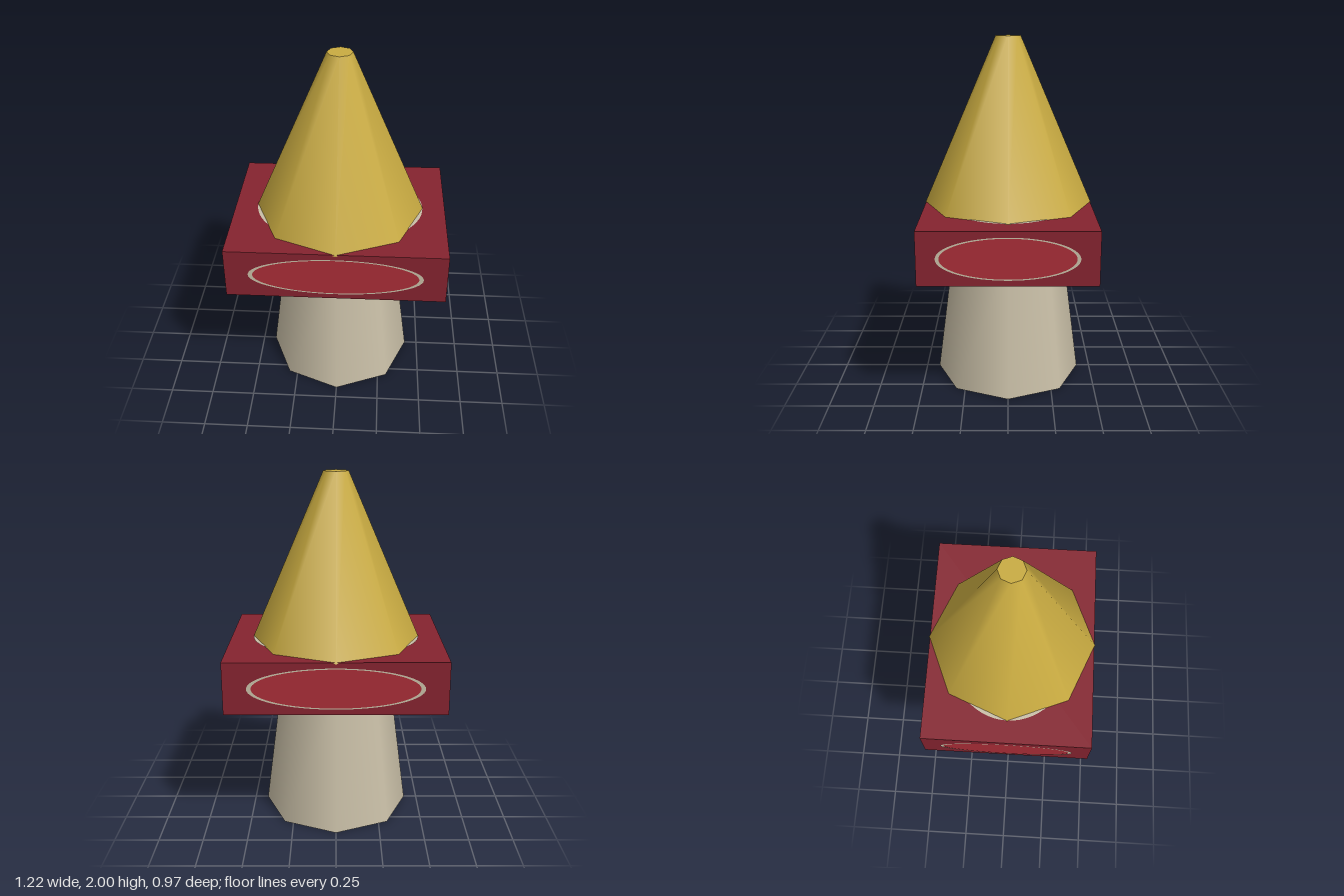
import * as THREE from 'three';

const mat = (name, color) => {
  const m = new THREE.MeshStandardMaterial({ color });
  m.name = name;
  return m;
};

export function createModel() {
  const cream = mat('cream', 0xc9bfa7);
  const gold = mat('gold', 0xc9ab41);
  const darkRed = mat('dark red', 0x85232f);
  const red = mat('bright red', 0xa92d37);

  const model = new THREE.Group();
  model.name = 'toadstoolTower';
  const add = (name, geometry, material, parent = model) => {
    const mesh = new THREE.Mesh(geometry, material);
    mesh.name = name;
    parent.add(mesh);
    return mesh;
  };

  // Tapered eight-sided stem
  add('stem', new THREE.CylinderGeometry(0.325, 0.425, 0.76, 8), cream).position.y = 0.38;

  // Square block
  const W = 1.214, H = 0.296, D = 0.956, Y = 0.904;
  add('block', new THREE.BoxGeometry(W, H, D), darkRed).position.y = Y;

  // Oval with a thin pale rim on each face: [name, width, height, distance, rotX, rotY]
  const q = Math.PI / 2;
  const faces = [
    ['front', W, H, D / 2, 0, 0],
    ['back', W, H, D / 2, 0, Math.PI],
    ['left', D, H, W / 2, 0, q],
    ['right', D, H, W / 2, 0, -q],
    ['top', W, D, H / 2, -q, 0],
    ['bottom', W, D, H / 2, q, 0],
  ];
  for (const [name, w, h, dist, rx, ry] of faces) {
    const oval = new THREE.Group();
    oval.name = name + 'Oval';
    oval.position.y = Y;
    oval.rotation.set(rx, ry, 0);
    model.add(oval);
    const rim = add('rim', new THREE.RingGeometry(0.374, 0.394, 64), cream, oval);
    const centre = add('centre', new THREE.CircleGeometry(0.375, 64), red, oval);
    for (const part of [rim, centre]) {
      part.scale.set(w, h, 1);
      part.position.z = dist + 0.002;
    }
    rim.position.z += 0.001;
  }

  // Eight-sided roof cone with a blunt tip
  add('roof', new THREE.CylinderGeometry(0.07, 0.484, 0.955, 8), gold).position.y = 1.5225;

  return model;
}
